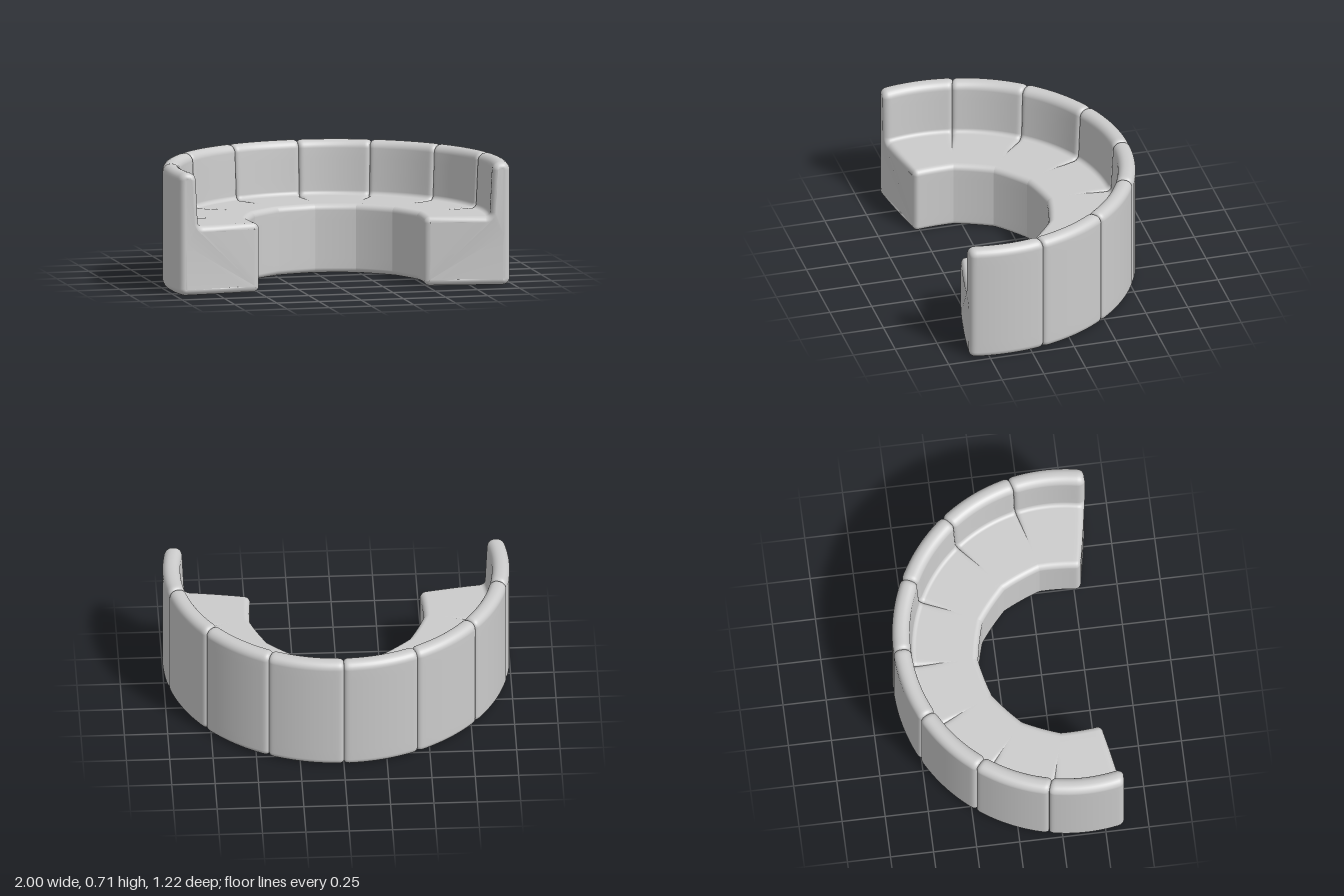
import * as THREE from 'three';

const SECTIONS = 8;
const CENTRE_Z = 0.39;
const OUTER_END = THREE.MathUtils.degToRad(103.2); // half sweep at the outer wall
const INNER_EXTRA = THREE.MathUtils.degToRad(3.3); // the inner wall runs slightly further
const END_ROUND = 0.035;
const SEAM_WIDTH = 0.03, SEAM_DEPTH = 0.02;

// Closed profile in (radius, height): each corner is [r, y, rounding]
function roundedProfile(corners) {
  const shape = new THREE.Shape();
  corners.forEach(([r, y, round], i) => {
    const c = new THREE.Vector2(r, y);
    const toward = ([pr, py]) => new THREE.Vector2(pr, py).sub(c).setLength(round).add(c);
    const a = toward(corners.at(i - 1));
    const b = toward(corners[(i + 1) % corners.length]);
    if (i === 0) shape.moveTo(a.x, a.y);
    else shape.lineTo(a.x, a.y);
    shape.bezierCurveTo(
      a.x + (c.x - a.x) * 0.55, a.y + (c.y - a.y) * 0.55,
      b.x + (c.x - b.x) * 0.55, b.y + (c.y - b.y) * 0.55, b.x, b.y);
  });
  const raw = shape.getPoints(7);
  // Split long runs so seams can fade out along the seat
  const points = [];
  raw.forEach((p, i) => {
    const q = raw[(i + 1) % raw.length];
    const n = Math.max(1, Math.round(p.distanceTo(q) / 0.06));
    for (let k = 0; k < n; k++) if (p.distanceTo(q) > 1e-6) points.push(p.clone().lerp(q, k / n));
  });
  return points;
}

function outwardNormals(points) {
  const n = points.length;
  return points.map((p, i) => {
    const d1 = p.clone().sub(points[(i + n - 1) % n]).normalize();
    const d2 = points[(i + 1) % n].clone().sub(p).normalize();
    const d = d1.add(d2).normalize();
    return new THREE.Vector2(d.y, -d.x);
  });
}

// Quarter-round inset: full depth at distance 0, none beyond the width
function roundInset(distance, width, depth) {
  const k = Math.max(0, 1 - distance / width);
  return depth * (1 - Math.sqrt(1 - k * k));
}

// Sweep positions, packed closely at the seams and the rounded ends
function sweepAngles() {
  const step = (2 * OUTER_END) / SECTIONS;
  const near = [0, 0.0008, 0.003, 0.007, 0.013, 0.021, 0.032, 0.048];
  const angles = [];
  for (let s = 0; s < SECTIONS; s++) {
    const start = -OUTER_END + s * step;
    near.forEach(o => angles.push(start + o));
    for (let k = 1; k < 10; k++) angles.push(start + 0.048 + (step - 0.096) * k / 10);
    near.slice(1).reverse().forEach(o => angles.push(start + step - o));
  }
  angles.push(OUTER_END);
  return angles;
}

function buildSofa() {
  const profile = roundedProfile([
    [0.508, 0, 0.03], [1, 0, 0.04], [1, 0.715, 0.045],
    [0.9, 0.715, 0.045], [0.885, 0.4, 0.025], [0.508, 0.4, 0.035],
  ]);
  const normals = outwardNormals(profile);
  const n = profile.length;
  const step = (2 * OUTER_END) / SECTIONS;
  const angles = sweepAngles();
  const positions = [], index = [], caps = [[], []];

  angles.forEach((phi, j) => {
    const t = (phi + OUTER_END) / step;
    const seam = Math.round(t);
    const endInset = roundInset((OUTER_END - Math.abs(phi)) * 0.8, END_ROUND, END_ROUND);
    const seamInset = seam > 0 && seam < SECTIONS
      ? roundInset(Math.abs(t - seam) * step, SEAM_WIDTH, SEAM_DEPTH) : 0;
    const mid = 1 - Math.pow(2 * (t - Math.floor(t)) - 1, 2);
    profile.forEach((p, i) => {
      // Seams are deep on the backrest and fade across the seat and underside
      const fade = THREE.MathUtils.smoothstep(p.x, 0.7, 0.88);
      const inset = endInset + seamInset * fade;
      const flatten = 0.009 * mid * (1 - THREE.MathUtils.smoothstep(p.x, 0.5, 0.8));
      const r = p.x - normals[i].x * inset - flatten;
      const y = p.y - normals[i].y * inset;
      const a = phi * (1 + (INNER_EXTRA / OUTER_END) * (1 - p.x) * 2);
      positions.push(r * Math.sin(a), y, CENTRE_Z - r * Math.cos(a));
      if (j === 0) caps[0].push(new THREE.Vector2(r, y));
      if (j === angles.length - 1) caps[1].push(new THREE.Vector2(r, y));
      if (j > 0) {
        const i2 = (i + 1) % n, a0 = (j - 1) * n, b0 = j * n;
        index.push(a0 + i, a0 + i2, b0 + i, a0 + i2, b0 + i2, b0 + i);
      }
    });
  });

  // Flat end faces
  const last = (angles.length - 1) * n;
  THREE.ShapeUtils.triangulateShape(caps[0], []).forEach(([a, b, c]) => index.push(a, c, b));
  THREE.ShapeUtils.triangulateShape(caps[1], []).forEach(([a, b, c]) => index.push(last + a, last + b, last + c));

  const geometry = new THREE.BufferGeometry();
  geometry.setAttribute('position', new THREE.Float32BufferAttribute(positions, 3));
  geometry.setIndex(index);
  geometry.computeVertexNormals();
  return geometry;
}

export function createModel() {
  const group = new THREE.Group();
  group.name = 'curvedSofa';
  // Seat and backrest are one continuous upholstered sweep
  const sofa = new THREE.Mesh(buildSofa(), new THREE.MeshStandardMaterial({ color: 0xcccccc }));
  sofa.name = 'seatAndBackrest';
  group.add(sofa);
  return group;
}
